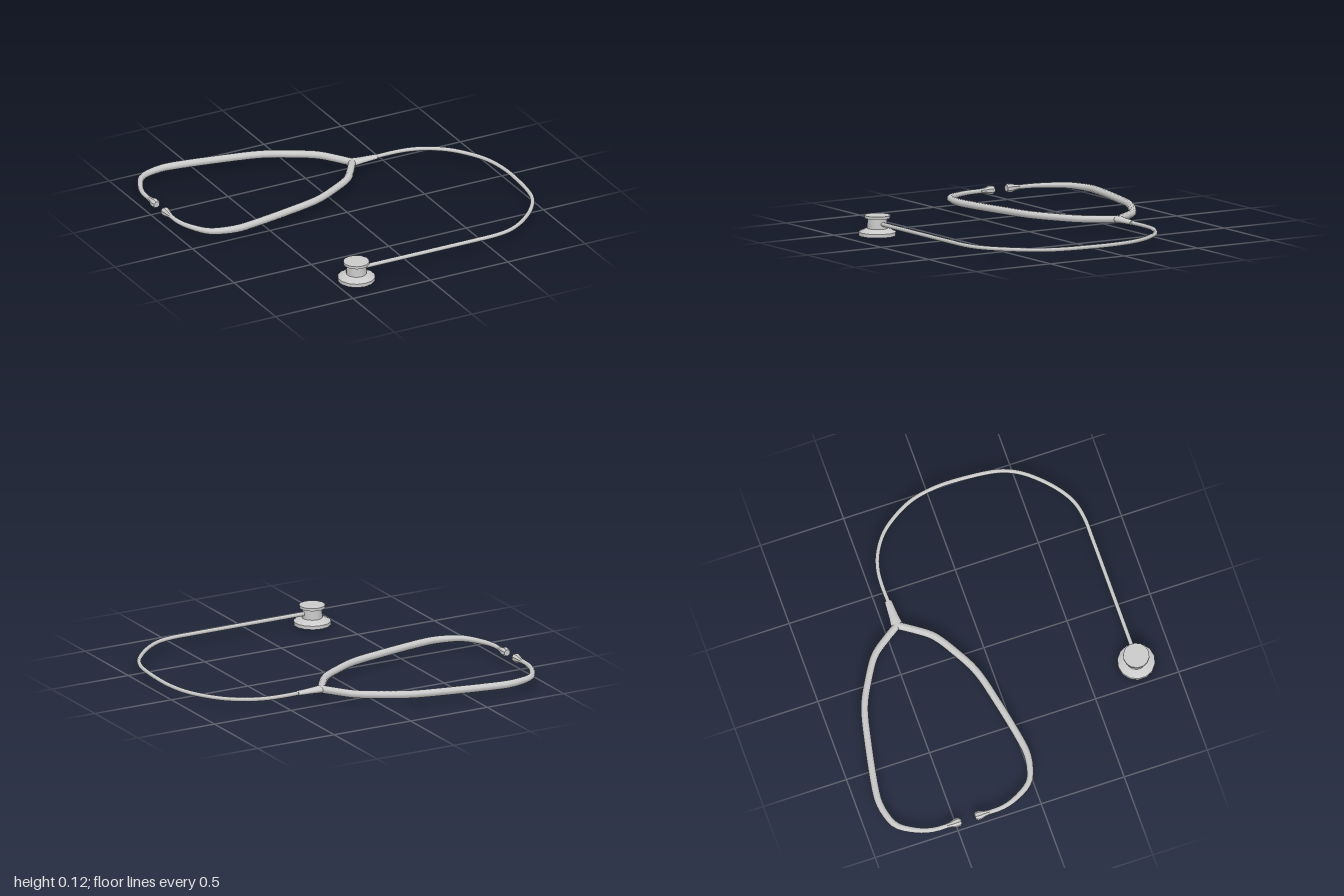
import * as THREE from 'three';
import { toCreasedNormals } from 'three/addons/utils/BufferGeometryUtils.js';

const Y = 0.07;          // height of the tubing's centre line
const AXIS_Z = -0.432;   // mirror line of the headset
const material = new THREE.MeshStandardMaterial({ color: 0xcccccc });

function part(name, geometry) {
  const mesh = new THREE.Mesh(geometry, material);
  mesh.name = name;
  return mesh;
}

function lathe(profile, sides) {
  const points = profile.map(([r, h]) => new THREE.Vector2(r, h));
  return toCreasedNormals(new THREE.LatheGeometry(points, sides), 0.6);
}

// Tube along flat [x, z] points, radius varying with u from 0 to 1.
// Rings are turned half a step so that flats face up and sideways.
function sweep(points, radiusAt, segments, sides = 8) {
  const curve = new THREE.CatmullRomCurve3(
    points.map(([x, z]) => new THREE.Vector3(x, Y, z)), false, 'centripetal');
  const geometry = new THREE.TubeGeometry(curve, segments, 1, sides, false);
  const { position, normal } = geometry.attributes;
  const v = new THREE.Vector3();
  for (let i = 0; i <= segments; i++) {
    const u = i / segments;
    const centre = curve.getPointAt(u);
    const tangent = curve.getTangentAt(u);
    for (let j = 0; j <= sides; j++) {
      const k = i * (sides + 1) + j;
      v.fromBufferAttribute(normal, k).applyAxisAngle(tangent, Math.PI / sides);
      normal.setXYZ(k, v.x, v.y, v.z);
      v.multiplyScalar(radiusAt(u)).add(centre);
      position.setXYZ(k, v.x, v.y, v.z);
    }
  }
  return geometry;
}

export function createModel() {
  const model = new THREE.Group();
  model.name = 'stethoscope';

  // Long tube from the yoke round to the chest piece
  model.add(part('mainTube', sweep([
    [0.4, AXIS_Z], [0.53, -0.434], [0.62, -0.425], [0.71, -0.395], [0.82, -0.32],
    [0.91, -0.2], [0.96, -0.09], [0.985, 0.05], [0.985, 0.21], [0.96, 0.42],
    [0.912, 0.53], [0.815, 0.645], [0.71, 0.73], [0.63, 0.77], [0.53, 0.789],
    [0.4, 0.791], [-0.33, 0.791],
  ], () => 0.0125, 90)));

  // Headset arms, mirrored across the yoke: [x, distance from the axis]
  const arm = [
    [0.265, 0], [0.2, 0.097], [0.136, 0.177], [0, 0.265], [-0.14, 0.335], [-0.355, 0.388],
    [-0.64, 0.441], [-0.71, 0.447], [-0.79, 0.436], [-0.877, 0.4], [-0.947, 0.293],
    [-0.973, 0.207], [-0.976, 0.11],
  ];
  const armRadius = (u) => 0.0225 - 0.009 * THREE.MathUtils.smoothstep(u, 0.65, 1);
  const tip = [[0, 0], [0.014, 0], [0.018, 0.03], [0.027, 0.06], [0.026, 0.078], [0.019, 0.09], [0, 0.09]];
  for (const [side, s] of [['left', 1], ['right', -1]]) {
    model.add(part(side + 'Arm', sweep(arm.map(([x, d]) => [x, AXIS_Z + s * d]), armRadius, 48)));
    const earTip = part(side + 'EarTip', lathe(tip, 8));
    earTip.position.set(-0.975, Y, AXIS_Z + s * 0.132);
    earTip.rotation.set(-s * Math.PI / 2, Math.PI / 8, 0);
    earTip.rotation.order = 'XYZ';
    model.add(earTip);
  }

  // Flattened, tapered yoke joining both arms to the tube
  const yoke = part('yoke', lathe(
    [[0, 0], [0.026, 0], [0.034, 0.025], [0.028, 0.07], [0.021, 0.17], [0, 0.17]], 12));
  yoke.rotation.z = -Math.PI / 2;
  yoke.scale.x = 0.62;
  yoke.position.set(0.25, Y, AXIS_Z);
  model.add(yoke);

  // Chest piece: diaphragm rim, sloped shoulder, neck and upper disc
  const chest = part('chestPiece', lathe([
    [0, 0], [0.108, 0], [0.108, 0.021], [0.07, 0.039], [0.059, 0.041],
    [0.057, 0.099], [0.075, 0.1], [0.075, 0.116], [0, 0.116],
  ], 14));
  chest.position.set(-0.366, 0, 0.791);
  model.add(chest);

  return model;
}
